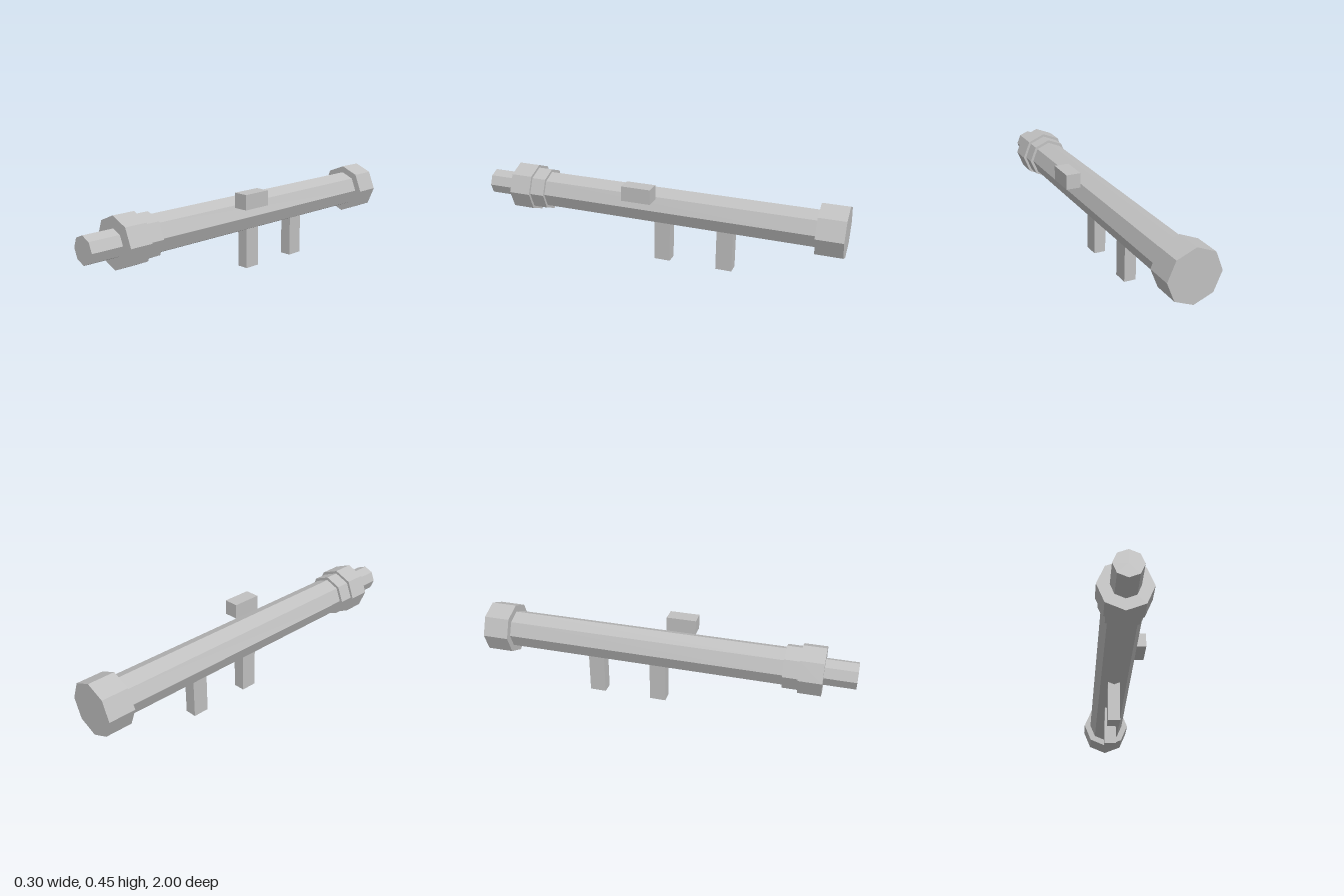
import * as THREE from 'three';

const AXIS_X = -0.013;
const AXIS_Y = 0.308;

export function createModel() {
  const group = new THREE.Group();
  const grey = new THREE.MeshStandardMaterial({ color: 0xc0c0c0, flatShading: true });
  grey.name = 'grey';

  const add = (name, geometry, x, y, z) => {
    const mesh = new THREE.Mesh(geometry, grey);
    mesh.name = name;
    mesh.position.set(x, y, z);
    group.add(mesh);
  };

  // Eight-sided sections along the barrel axis, with a corner pointing up
  const section = (name, radius, z0, z1) => {
    const geometry = new THREE.CylinderGeometry(radius, radius, z1 - z0, 8).rotateX(Math.PI / 2);
    add(name, geometry, AXIS_X, AXIS_Y, (z0 + z1) / 2);
  };
  section('rearCap', 0.138, -1, -0.86);
  section('barrel', 0.101, -0.87, 0.645);
  section('frontRing', 0.117, 0.635, 0.72);
  section('frontCollar', 0.132, 0.715, 0.835);
  section('nozzle', 0.071, 0.825, 1);

  // Two grips under the barrel
  for (const [name, z] of [['frontGrip', -0.037], ['rearGrip', -0.385]]) {
    add(name, new THREE.BoxGeometry(0.065, 0.225, 0.088), AXIS_X, 0.1125, z);
  }

  // Sight on the upper left side
  add('sight', new THREE.BoxGeometry(0.08, 0.08, 0.16), 0.11, 0.41, 0.062);

  return group;
}
